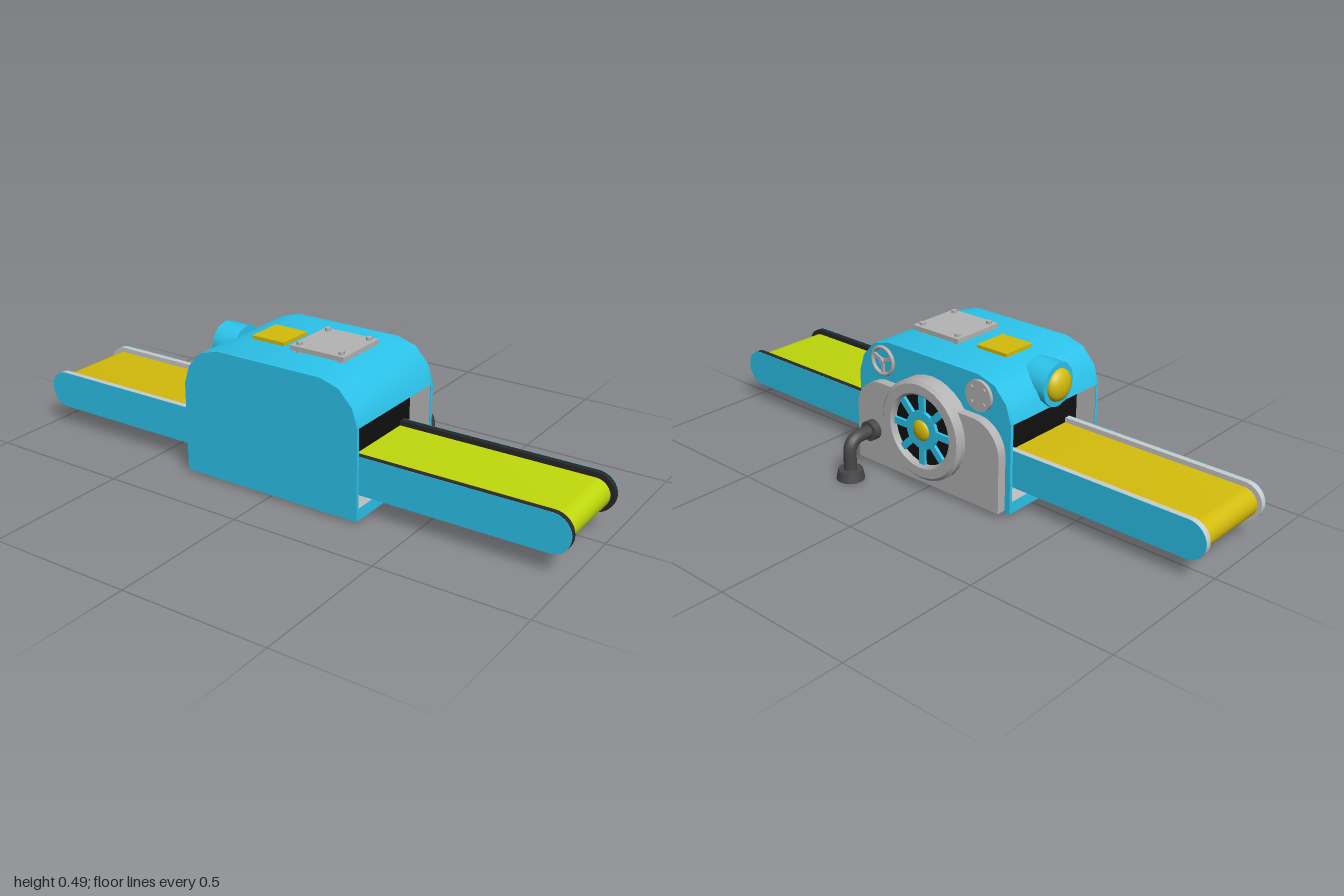
import * as THREE from 'three';
import { toCreasedNormals } from 'three/addons/utils/BufferGeometryUtils.js';

const mat = (color) => new THREE.MeshStandardMaterial({ color, side: THREE.DoubleSide });
const blue = mat(0x2cc4ec), grey = mat(0xb4b4b4), pale = mat(0xcccccc), black = mat(0x101010);
const dark = mat(0x282828), pipeMat = mat(0x484848), lime = mat(0xc0d80c), gold = mat(0xd4bc0c);

function add(parent, name, geometry, material, x = 0, y = 0, z = 0) {
  const mesh = new THREE.Mesh(geometry, material);
  mesh.name = name;
  mesh.position.set(x, y, z);
  parent.add(mesh);
  return mesh;
}
const box = (w, h, d) => new THREE.BoxGeometry(w, h, d);
const polygon = (pts) => new THREE.Shape(pts.map(([x, y]) => new THREE.Vector2(x, y)));
function extrude(shape, depth, curveSegments = 12) {
  const g = new THREE.ExtrudeGeometry(shape, { depth, bevelEnabled: false, curveSegments });
  return toCreasedNormals(g, 0.5);
}
const cylZ = (r1, r2, h, n = 24) => new THREE.CylinderGeometry(r1, r2, h, n).rotateX(-Math.PI / 2);

// Bar with one rounded end, pointing along +x
function barShape(x0, x1, y0, y1) {
  const r = (y1 - y0) / 2, s = new THREE.Shape();
  s.moveTo(x0, y0);
  s.lineTo(x1 - r, y0);
  s.absarc(x1 - r, y0 + r, r, -Math.PI / 2, Math.PI / 2, false);
  s.lineTo(x0, y1);
  return s;
}

// Tapered rectangular collar around the tunnel mouth
function collarGeometry() {
  const loops = [[0.328, 0.211, 0.05, 0.317], [0.26, 0.201, 0.093, 0.305]];
  const pos = [], idx = [];
  for (const [x, w, y0, y1] of loops) pos.push(x, y0, w, x, y0, -w, x, y1, -w, x, y1, w);
  for (let i = 0; i < 4; i++) {
    const j = (i + 1) % 4;
    idx.push(i, i + 4, j, j, i + 4, j + 4);
  }
  const g = new THREE.BufferGeometry();
  g.setAttribute('position', new THREE.Float32BufferAttribute(pos, 3));
  g.setIndex(idx);
  const flat = g.toNonIndexed();
  flat.computeVertexNormals();
  return flat;
}

function addBody(root) {
  const body = new THREE.Group();
  body.name = 'housing';
  root.add(body);
  const arch = [[0.33, 0.317], [0.31, 0.38], [0.262, 0.432], [0.195, 0.452]];
  const top = [...arch, ...arch.map(([x, y]) => [-x, y]).reverse()];
  const full = polygon([[-0.33, 0.01], [0.33, 0.01], ...top]);
  add(body, 'frontPanel', extrude(full, 0.01), blue, 0, 0, 0.31);
  add(body, 'backPanel', extrude(full, 0.012), blue, 0, 0, -0.125);
  add(body, 'roof', extrude(polygon(top), 0.423), blue, 0, 0, -0.113);
  add(body, 'floor', box(0.66, 0.04, 0.423), blue, 0, 0.03, 0.0985);
}

// One conveyor half with its tunnel mouth
function addConveyor(root, name, angle, beltMat, railMat) {
  const g = new THREE.Group();
  g.name = name;
  g.position.z = 0.099;
  g.rotation.y = angle;
  root.add(g);
  add(g, 'tunnelCollar', collarGeometry(), grey);
  add(g, 'tunnelInterior', box(0.01, 0.212, 0.402), black, 0.255, 0.199, 0);
  add(g, 'belt', extrude(barShape(0.2, 0.985, 0.083, 0.182), 0.284, 6), beltMat, 0, 0, -0.142);
  const rail = barShape(0.2, 1, 0.07, 0.199);
  for (const s of [-1, 1]) {
    add(g, 'rail', extrude(rail, 0.02, 10), railMat, 0, 0, s * 0.152 - 0.01);
    add(g, 'railCover', extrude(rail, 0.002, 10), blue, 0, 0, s * 0.163 - 0.001);
  }
}

function addTopDetails(root) {
  add(root, 'hatchPlate', box(0.2, 0.016, 0.2), grey, 0.1, 0.47, 0.099);
  for (const x of [0.022, 0.178]) for (const z of [0.021, 0.177])
    add(root, 'hatchBolt', new THREE.CylinderGeometry(0.01, 0.01, 0.037, 8), grey, x, 0.469, z);
  add(root, 'topButton', box(0.125, 0.014, 0.128), gold, -0.112, 0.457, 0.099);
  // Lamp on the sloping shoulder
  const shell = new THREE.CylinderGeometry(0.075, 0.075, 0.09, 12);
  shell.rotateZ(Math.PI / 2);
  add(root, 'lampHousing', toCreasedNormals(shell, 0.6), blue, -0.293, 0.387, 0.095);
  const dome = add(root, 'lampDome', new THREE.SphereGeometry(0.055, 20, 14), gold, -0.338, 0.387, 0.095);
  dome.scale.x = 0.55;
}

function addBackDetails(root) {
  // Mounting panel with rounded shoulders
  const p = new THREE.Shape();
  p.moveTo(-0.31, 0.018);
  p.lineTo(0.31, 0.018);
  p.lineTo(0.31, 0.2);
  p.absarc(0.2, 0.207, 0.11, 0, Math.PI / 2, false);
  p.lineTo(-0.2, 0.317);
  p.absarc(-0.2, 0.207, 0.11, Math.PI / 2, Math.PI, false);
  add(root, 'mountingPanel', extrude(p, 0.033), grey, 0, 0, -0.158);

  // Spoked wheel in a thick ring
  const wheel = new THREE.Group();
  wheel.name = 'fanWheel';
  wheel.position.set(0, 0.216, -0.125);
  root.add(wheel);
  const profile = [[0.122, 0], [0.122, 0.054], [0.13, 0.062], [0.162, 0.062], [0.173, 0.052], [0.173, 0]];
  const ring = new THREE.LatheGeometry(profile.map(([r, h]) => new THREE.Vector2(r, h)), 32);
  add(wheel, 'outerRing', toCreasedNormals(ring.rotateX(-Math.PI / 2), 0.6), grey);
  add(wheel, 'backDisc', cylZ(0.124, 0.124, 0.01, 32), black, 0, 0, -0.035);
  add(wheel, 'hubDisc', cylZ(0.066, 0.066, 0.016), blue, 0, 0, -0.044);
  for (let i = 0; i < 8; i++) {
    const spoke = add(wheel, 'spoke', box(0.08, 0.024, 0.014).translate(0.085, 0, 0), blue, 0, 0, -0.044);
    spoke.rotation.z = (i * Math.PI) / 4;
  }
  const cap = add(wheel, 'hubCap', new THREE.SphereGeometry(0.036, 20, 12), gold, 0, 0, -0.05);
  cap.scale.z = 0.42;

  // Hand valve
  const valve = new THREE.Group();
  valve.name = 'handValve';
  valve.position.set(0.215, 0.385, -0.131);
  root.add(valve);
  add(valve, 'valveRing', new THREE.TorusGeometry(0.047, 0.007, 8, 28), grey);
  for (const a of [0.4, 2.75, -Math.PI / 2]) {
    const arm = add(valve, 'valveArm', box(0.046, 0.011, 0.007).translate(0.023, 0, 0), grey);
    arm.rotation.z = a;
  }
  add(valve, 'valveHub', cylZ(0.009, 0.009, 0.016, 12), grey, 0, 0, -0.003);

  // Round bolted cover
  add(root, 'roundCover', cylZ(0.052, 0.052, 0.012, 28), grey, -0.205, 0.385, -0.131);
  for (let i = 0; i < 4; i++) {
    const a = Math.PI / 4 + (i * Math.PI) / 2;
    add(root, 'coverBolt', cylZ(0.007, 0.007, 0.006, 8), grey,
      -0.205 + 0.035 * Math.cos(a), 0.385 + 0.035 * Math.sin(a), -0.139);
  }
}

function addPipe(root) {
  const x = 0.237;
  add(root, 'pipeFlange', cylZ(0.035, 0.035, 0.028, 16), pipeMat, x, 0.14, -0.172);
  const path = new THREE.CurvePath();
  const v = (y, z) => new THREE.Vector3(x, y, z);
  path.add(new THREE.LineCurve3(v(0.14, -0.17), v(0.14, -0.222)));
  path.add(new THREE.QuadraticBezierCurve3(v(0.14, -0.222), v(0.138, -0.272), v(0.092, -0.272)));
  path.add(new THREE.LineCurve3(v(0.092, -0.272), v(0.03, -0.272)));
  add(root, 'drainPipe', new THREE.TubeGeometry(path, 28, 0.022, 14), pipeMat);
  add(root, 'pipeFoot', new THREE.CylinderGeometry(0.041, 0.048, 0.035, 20), pipeMat, x, 0.0175, -0.272);
}

export function createModel() {
  const root = new THREE.Group();
  root.name = 'conveyorMachine';
  addBody(root);
  addConveyor(root, 'outfeedConveyor', 0, lime, dark);
  addConveyor(root, 'infeedConveyor', Math.PI, gold, pale);
  addTopDetails(root);
  addBackDetails(root);
  addPipe(root);
  return root;
}
